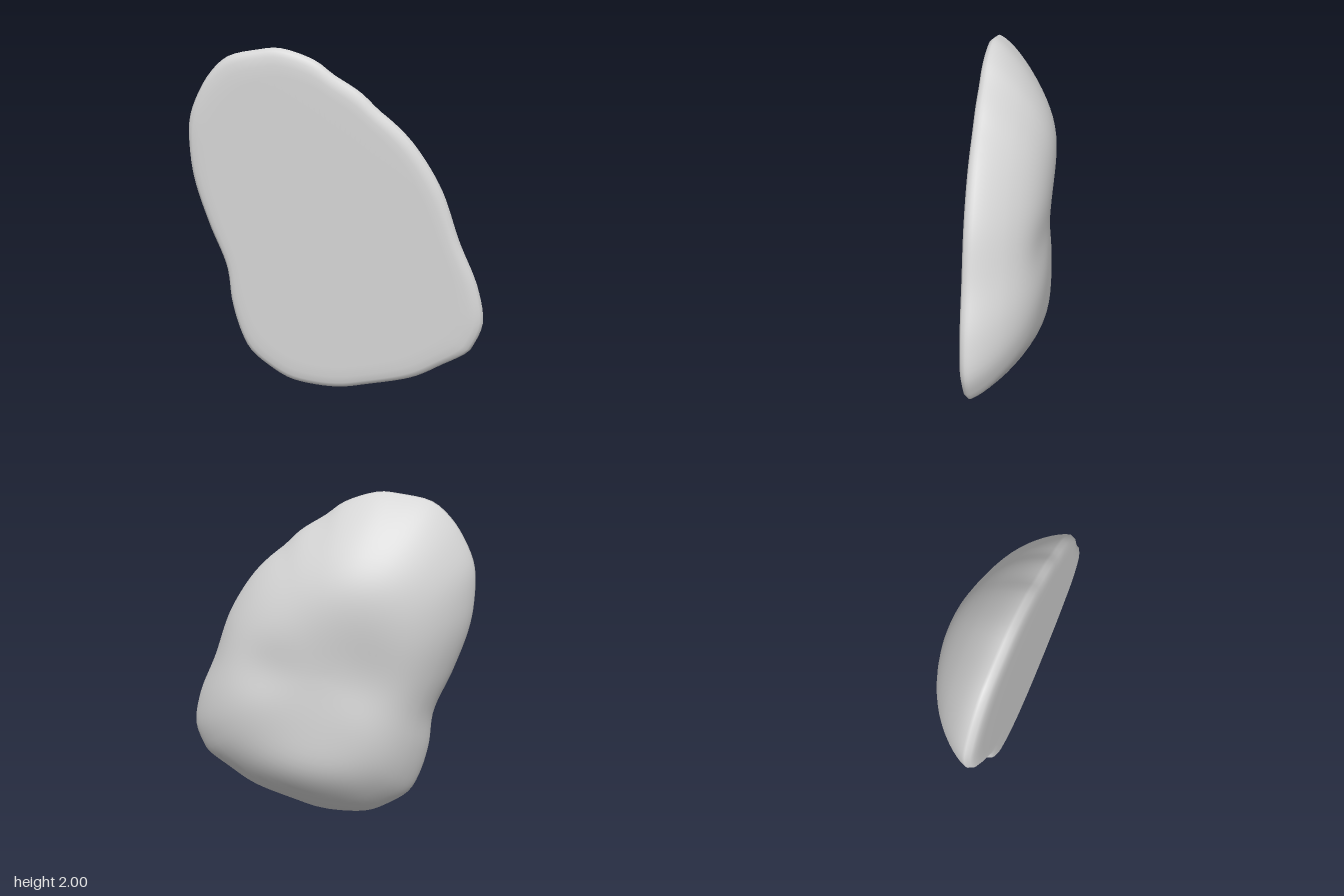
import * as THREE from 'three';

// Outline of the stone in the x/y plane, counterclockwise
const OUTLINE = [
  [0.86, 0.53], [0.82, 0.74], [0.71, 0.99], [0.6, 1.28], [0.45, 1.51], [0.34, 1.62], [0.25, 1.69],
  [0.15, 1.78], [0, 1.87], [-0.1, 1.94], [-0.3, 2], [-0.42, 1.99], [-0.6, 1.95], [-0.7, 1.87],
  [-0.78, 1.76], [-0.85, 1.6], [-0.86, 1.4], [-0.84, 1.24], [-0.76, 0.98], [-0.66, 0.72],
  [-0.64, 0.5], [-0.59, 0.3], [-0.53, 0.18], [-0.4, 0.08], [-0.28, 0.02], [-0.1, 0],
  [0.05, 0.01], [0.2, 0.05], [0.48, 0.14], [0.64, 0.24], [0.79, 0.345], [0.82, 0.4],
];
const CENTER = new THREE.Vector2(-0.04, 1);
const SEGMENTS = 128;
const RIM_Z = 0.17;

// Soft bumps (positive) and hollows (negative) on the back: x, y, radiusX, radiusY, height
const RELIEF = [
  [-0.25, 1.55, 0.35, 0.25, 0.025],
  [0.08, 0.36, 0.42, 0.22, 0.05],
  [-0.05, 1, 0.4, 0.28, -0.025],
  [0.3, 1.02, 0.2, 0.17, -0.02],
  [-0.32, 1, 0.2, 0.25, -0.025],
];

function backZ(x, y, s) {
  let h = 0.388 * Math.pow(Math.max(0, 1 - Math.pow(s, 2.8)), 0.73);
  for (const [cx, cy, rx, ry, a] of RELIEF) {
    h += a * Math.exp(-(((x - cx) / rx) ** 2) - ((y - cy) / ry) ** 2) * (1 - s ** 4);
  }
  return RIM_Z - h;
}

// Averages neighbouring points so the inner rings lose the small dents of the rim
function smoothLoop(points, passes) {
  let loop = points;
  for (let k = 0; k < passes; k++) {
    loop = loop.map((p, i) => p.clone().multiplyScalar(2)
      .add(loop[(i + 1) % loop.length])
      .add(loop[(i + loop.length - 1) % loop.length])
      .multiplyScalar(0.25));
  }
  return loop;
}

export function createModel() {
  const curve = new THREE.CatmullRomCurve3(
    OUTLINE.map(([x, y]) => new THREE.Vector3(x, y, 0)), true, 'centripetal');
  const rim = curve.getSpacedPoints(SEGMENTS).slice(0, SEGMENTS);
  const softRim = smoothLoop(rim, 35);

  // Rings from the flat front, round the narrow rim, over the domed back
  const rings = [[0.5, 0.214], [0.86, 0.214], [0.92, 0.212], [0.96, 0.206], [0.985, 0.195]];
  for (const s of [1, 0.996, 0.985, 0.97, 0.95, 0.92, 0.88, 0.84]) rings.push([s, null]);
  for (let s = 0.79; s > 0.03; s -= 0.05) rings.push([s, null]);

  const positions = [CENTER.x, CENTER.y, 0.214];
  for (const [s, z] of rings) {
    rim.forEach((p, i) => {
      const q = softRim[i].clone().lerp(p, s ** 6);
      const x = CENTER.x + (q.x - CENTER.x) * s;
      const y = CENTER.y + (q.y - CENTER.y) * s;
      positions.push(x, y, z ?? backZ(x, y, s));
    });
  }
  positions.push(CENTER.x, CENTER.y, backZ(CENTER.x, CENTER.y, 0));

  const index = [];
  const last = positions.length / 3 - 1;
  const at = (ring, i) => 1 + ring * SEGMENTS + (i % SEGMENTS);
  for (let i = 0; i < SEGMENTS; i++) {
    index.push(0, at(0, i), at(0, i + 1));
    for (let r = 0; r < rings.length - 1; r++) {
      index.push(at(r, i), at(r + 1, i), at(r + 1, i + 1));
      index.push(at(r, i), at(r + 1, i + 1), at(r, i + 1));
    }
    index.push(at(rings.length - 1, i), last, at(rings.length - 1, i + 1));
  }

  const geometry = new THREE.BufferGeometry();
  geometry.setAttribute('position', new THREE.Float32BufferAttribute(positions, 3));
  geometry.setIndex(index);
  geometry.computeVertexNormals();

  const material = new THREE.MeshStandardMaterial({ color: 0xd6d6d6 });
  material.name = 'light grey';
  const stone = new THREE.Mesh(geometry, material);
  stone.name = 'stone';

  const group = new THREE.Group();
  group.name = 'flatFrontedStone';
  group.add(stone);
  return group;
}
